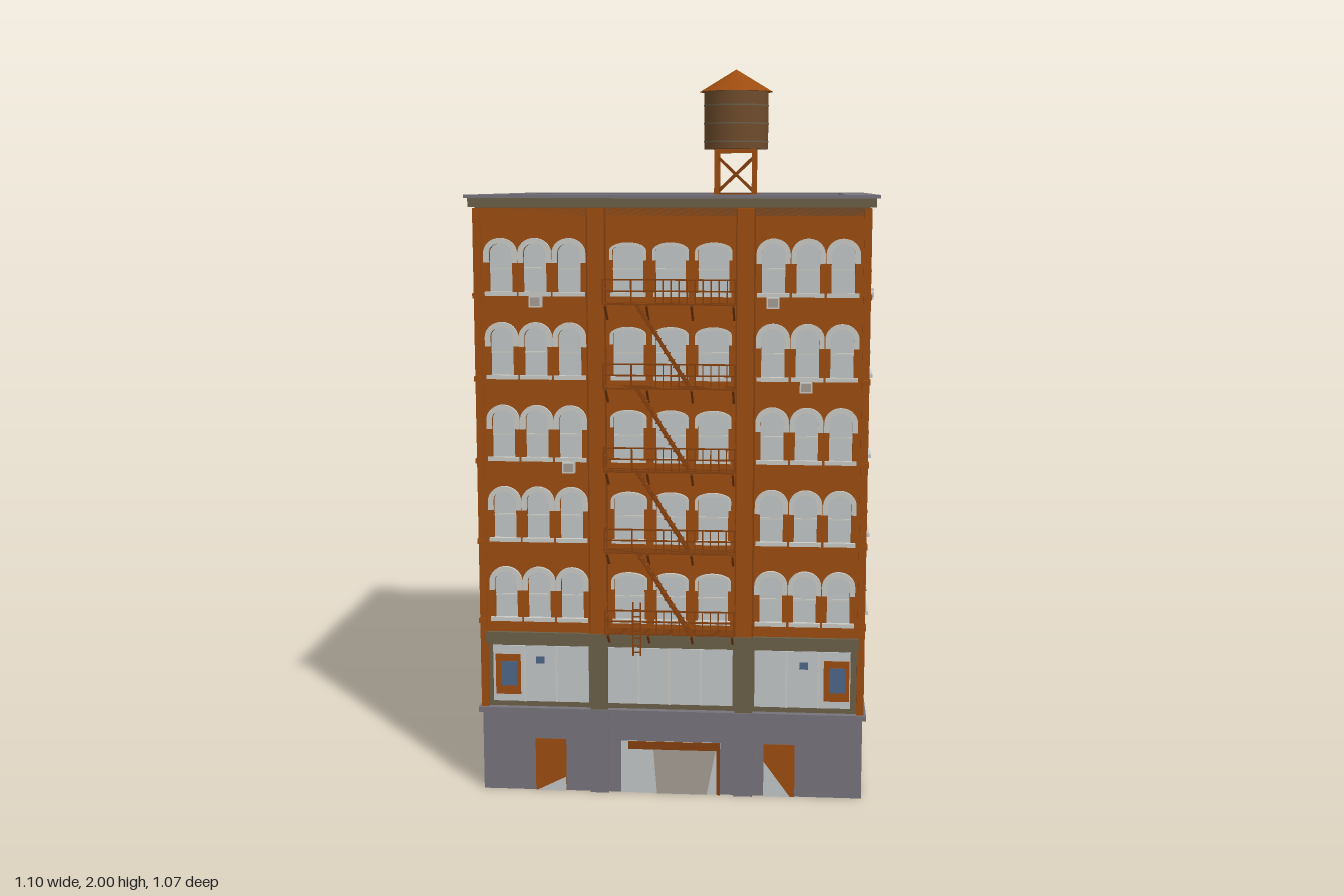
import * as THREE from 'three';

const mat = (name, color, side = THREE.FrontSide) => {
  const m = new THREE.MeshStandardMaterial({ color, side });
  m.name = name;
  return m;
};

export function createModel() {
  const brick = mat('orange brick', 0x9c4c0f);
  const brown = mat('brown brick', 0x6e4b2c);
  const beige = mat('beige render', 0xa59d94);
  const slate = mat('slate grey', 0x77737b);
  const olive = mat('olive trim', 0x6a6048);
  const trim = mat('pale stone', 0xc9c9c5);
  const pale = mat('pale glass', 0xc2c6c7);
  const blue = mat('blue glass', 0x4e6588);
  const iron = mat('rusty iron', 0x84400e);
  iron.flatShading = true;

  const model = new THREE.Group();
  model.name = 'building';

  const add = (parent, name, geo, m, x = 0, y = 0, z = 0) => {
    const mesh = new THREE.Mesh(geo, m);
    mesh.name = name;
    mesh.position.set(x, y, z);
    parent.add(mesh);
    return mesh;
  };
  // box given by its minimum and maximum corners
  const box = (parent, name, m, x0, x1, y0, y1, z0, z1) =>
    add(parent, name, new THREE.BoxGeometry(x1 - x0, y1 - y0, z1 - z0), m, (x0 + x1) / 2, (y0 + y1) / 2, (z0 + z1) / 2);
  const poly = (pts) => new THREE.Shape(pts.map(([x, y]) => new THREE.Vector2(x, y)));
  const rect = (x0, x1, y0, y1) => [[x0, y0], [x1, y0], [x1, y1], [x0, y1]];
  const extrude = (shape, depth) => new THREE.ExtrudeGeometry(shape, { depth, bevelEnabled: false, curveSegments: 8 });
  // straight bar between two points
  const bar = (parent, name, m, a, b, r) => {
    const p = new THREE.Vector3(...a), q = new THREE.Vector3(...b);
    const d = q.clone().sub(p);
    const mesh = add(parent, name, new THREE.BoxGeometry(r * 2, d.length(), r * 2), m);
    mesh.position.copy(p).add(q).multiplyScalar(0.5);
    mesh.quaternion.setFromUnitVectors(new THREE.Vector3(0, 1, 0), d.normalize());
  };
  // horizontal frame with a rectangular opening
  const ring = (name, m, outer, inner, y0, y1) => {
    const s = poly(rect(...outer));
    s.holes.push(poly(rect(...inner)));
    add(model, name, extrude(s, y1 - y0).rotateX(Math.PI / 2), m, 0, y1, 0);
  };

  // Main block
  box(model, 'body', brown, -0.525, 0.525, 0.235, 1.605, -0.505, 0.44);
  for (const s of [-1, 1]) {
    const x = s * 0.526;
    box(model, 'sidePanel', beige, x - 0.003, x + 0.003, 0.455, 1.615, -0.225, 0.455);
  }

  // Base storey
  box(model, 'base', slate, -0.527, 0.527, 0.02, 0.235, -0.508, 0.468);
  ring('baseSkirt', slate, [-0.527, 0.527, -0.508, 0.468], [-0.51, 0.51, -0.49, 0.45], 0, 0.02);
  box(model, 'baseLedge', slate, -0.537, 0.537, 0.225, 0.24, -0.516, 0.476);
  for (const s of [-1, 1]) {
    box(model, 'basePilaster', slate, s * 0.2 - 0.026, s * 0.2 + 0.026, 0, 0.24, -0.516, 0.478);
    const x = s > 0 ? 0.3 : -0.337;
    box(model, 'door', brick, x - 0.043, x + 0.043, 0, 0.15, 0.466, 0.47);
  }
  add(model, 'doorSplash', extrude(poly([[0.257, 0], [0.33, 0], [0.257, 0.1]]), 0.003), pale, 0, 0, 0.469);
  add(model, 'doorSplash', extrude(poly([[-0.375, 0], [-0.295, 0], [-0.295, 0.04]]), 0.003), pale, 0, 0, 0.469);
  box(model, 'shopEntrance', pale, -0.14, 0.137, 0, 0.15, 0.465, 0.47);
  add(model, 'shopBlind', extrude(poly([[-0.04, 0], [0.1, 0], [0.125, 0.13], [-0.05, 0.13]]), 0.003), beige, 0, 0, 0.47);
  box(model, 'shopLintel', iron, -0.12, 0.137, 0.128, 0.15, 0.47, 0.474);
  box(model, 'shopPost', iron, 0.127, 0.137, 0, 0.13, 0.47, 0.474);
  const splash = extrude(poly([[-0.12, 0], [0.5, 0], [-0.12, 0.14]]), 0.003).rotateY(Math.PI / 2);
  add(model, 'sideSplash', splash, pale, 0.526, 0, 0);
  const floorPatches = [
    [[-0.48, -0.45], [-0.25, -0.2], [-0.48, 0.1]], [[-0.15, -0.3], [0.15, -0.1], [-0.1, 0.2]],
    [[0.25, -0.4], [0.48, 0.05], [0.27, 0.25]], [[-0.5, 0.2], [-0.25, 0.1], [-0.3, 0.43]], [[0, 0.15], [0.15, 0.43], [-0.15, 0.4]],
  ];
  for (const p of floorPatches) add(model, 'underPatch', extrude(poly(p), 0.004).rotateX(Math.PI / 2), pale, 0, 0.021, 0);

  // Shop windows above the base
  box(model, 'shopFront', olive, -0.515, 0.515, 0.235, 0.455, 0.44, 0.458);
  box(model, 'shopCornice', olive, -0.515, 0.515, 0.425, 0.455, 0.455, 0.47);
  for (const [x0, x1, n] of [[-0.497, -0.23, 3], [-0.178, 0.17, 4], [0.23, 0.493, 3]]) {
    box(model, 'shopWindow', pale, x0, x1, 0.255, 0.415, 0.456, 0.461);
    for (let i = 1; i < n; i++) {
      const x = x0 + (x1 - x0) * i / n;
      box(model, 'mullion', trim, x - 0.003, x + 0.003, 0.255, 0.415, 0.458, 0.464);
    }
  }
  for (const s of [-1, 1]) {
    box(model, 'displayCase', brick, s * 0.455 - 0.035, s * 0.455 + 0.035, 0.275, 0.39, 0.46, 0.463);
    box(model, 'displayGlass', blue, s * 0.455 - 0.02, s * 0.455 + 0.025, 0.3, 0.37, 0.462, 0.465);
    box(model, 'displaySign', blue, s * 0.365 - 0.012, s * 0.365 + 0.012, 0.365, 0.385, 0.46, 0.464);
    box(model, 'shopPillar', olive, s * 0.2 - 0.024, s * 0.2 + 0.024, 0.235, 0.455, 0.45, 0.474);
    box(model, 'pilaster', brick, s * 0.2 - 0.022, s * 0.2 + 0.022, 0.455, 1.62, 0.45, 0.47);
    box(model, 'pilasterRib', iron, s * 0.2 - 0.026, s * 0.2 - 0.021, 0.455, 1.62, 0.45, 0.468);
    box(model, 'pilasterRib', iron, s * 0.2 + 0.021, s * 0.2 + 0.026, 0.455, 1.62, 0.45, 0.468);
    box(model, 'cornerPier', brick, s * 0.52 - 0.01, s * 0.52 + 0.01, 0.24, 1.62, 0.435, 0.468);
  }

  // Front wall with arched window openings
  const rows = [0.49, 0.715, 0.94, 1.165, 1.39];
  const bays = [
    { xs: [-0.457, -0.365, -0.273], w: 0.031, spring: 0.11, rise: 0.027, hood: 0.014 },
    { xs: [-0.115, 0, 0.115], w: 0.041, spring: 0.118, rise: 0.014, hood: 0.008 },
    { xs: [0.273, 0.365, 0.457], w: 0.031, spring: 0.11, rise: 0.027, hood: 0.014 },
  ];
  const arch = (path, x, y, w, rise, y0) => {
    path.moveTo(x - w, y0);
    path.lineTo(x + w, y0);
    path.lineTo(x + w, y);
    path.absellipse(x, y, w, rise, 0, Math.PI, false, 0);
    path.lineTo(x - w, y0);
    return path;
  };
  const front = poly(rect(-0.525, 0.525, 0.455, 1.62));
  for (const y of rows) {
    for (const b of bays) {
      for (const x of b.xs) {
        front.holes.push(arch(new THREE.Path(), x, y + b.spring, b.w, b.rise, y));
        // raised hood with short ears
        const W = b.w + b.hood, top = y + b.spring, ear = y + b.spring - 0.025;
        const hood = new THREE.Shape();
        hood.moveTo(x + b.w, ear);
        hood.lineTo(x + W, ear);
        hood.lineTo(x + W, top);
        hood.absellipse(x, top, W, b.rise + b.hood, 0, Math.PI, false, 0);
        hood.lineTo(x - W, ear);
        hood.lineTo(x - b.w, ear);
        hood.lineTo(x - b.w, top);
        hood.absellipse(x, top, b.w, b.rise, Math.PI, 0, true, 0);
        add(model, 'windowHood', extrude(hood, 0.013), trim, 0, 0, 0.457);
        box(model, 'windowSill', trim, x - W + 0.002, x + W - 0.002, y - 0.004, y + 0.007, 0.455, 0.468);
        box(model, 'sashBar', trim, x - b.w, x + b.w, y + 0.066, y + 0.071, 0.446, 0.452);
      }
      box(model, 'frontGlass', pale, b.xs[0] - 0.045, b.xs[2] + 0.045, y - 0.003, y + 0.145, 0.441, 0.448);
    }
    for (const s of [-1, 1]) box(model, 'pierBand', brick, s * 0.524 - 0.009, s * 0.524 + 0.009, y - 0.01, y + 0.003, 0.44, 0.473);
  }
  add(model, 'frontWall', extrude(front, 0.02), brick, 0, 0, 0.44);

  // Side and rear windows
  const plainWindow = (x, y, z, turn) => {
    const g = new THREE.Group();
    g.name = 'plainWindow';
    box(g, 'frame', beige, -0.067, 0.067, -0.062, 0.062, -0.004, 0.005);
    box(g, 'pane', blue, -0.058, 0.058, -0.054, 0.054, 0, 0.007);
    box(g, 'meetingRail', slate, -0.058, 0.058, -0.003, 0.002, 0, 0.009);
    box(g, 'sill', trim, -0.07, 0.07, -0.068, -0.058, -0.004, 0.014);
    g.position.set(x, y, z);
    g.rotation.y = turn;
    model.add(g);
  };
  for (const y of [0.56, 0.783, 1.005, 1.228, 1.45])
    for (const s of [-1, 1]) plainWindow(s * 0.529, y, 0.283, s * Math.PI / 2);
  for (const y of [0.98, 1.2, 1.42])
    for (const x of [-0.41, -0.105, 0.105, 0.41]) plainWindow(x, y, -0.505, Math.PI);

  // Window air conditioners
  for (const [x, y, z] of [[-0.3625, 1.372, 0.465], [0.2725, 1.372, 0.465], [0.3625, 1.147, 0.465], [-0.278, 0.922, 0.465],
    [0.105, 1.375, -0.51], [-0.14, 0.92, -0.51], [0.53, 1.382, 0.25]]) {
    box(model, 'airConditioner', trim, x - 0.017, x + 0.017, y - 0.015, y + 0.015, z - 0.014, z + 0.014);
    if (z > 0.4) box(model, 'grille', beige, x - 0.013, x + 0.013, y - 0.011, y + 0.011, z + 0.012, z + 0.016);
  }

  // Cornice, parapet and roof
  const well = [-0.465, 0.465, -0.455, 0.405];
  box(model, 'roofDeck', slate, -0.5, 0.5, 1.6, 1.61, -0.49, 0.44);
  ring('parapet', brown, [-0.525, 0.525, -0.505, 0.46], well, 1.6, 1.647);
  ring('cornice', olive, [-0.541, 0.541, -0.522, 0.474], [-0.5, 0.5, -0.48, 0.43], 1.622, 1.647);
  ring('coping', slate, [-0.55, 0.55, -0.535, 0.482], well, 1.646, 1.655);
  box(model, 'roofVent', trim, -0.285, -0.178, 1.61, 1.645, -0.14, -0.072);
  add(model, 'roofFan', new THREE.CylinderGeometry(0.03, 0.03, 0.006, 20), olive, -0.25, 1.647, -0.108);

  // Water tower
  const tower = new THREE.Group();
  tower.name = 'waterTower';
  tower.position.set(0.16, 0, 0.15);
  model.add(tower);
  add(tower, 'tank', new THREE.CylinderGeometry(0.09, 0.09, 0.165, 20), brown, 0, 1.8625, 0);
  add(tower, 'tankRoof', new THREE.ConeGeometry(0.103, 0.062, 20), mat('x', 0), 0, 1.969, 0).material = brick;
  for (const y of [1.8, 1.85, 1.9])
    add(tower, 'hoop', new THREE.CylinderGeometry(0.0915, 0.0915, 0.004, 20, 1, true), olive, 0, y, 0);
  for (let i = 0; i < 4; i++) {
    const a = i * Math.PI / 2 + Math.PI / 4, b = a + Math.PI / 2, R = 0.074;
    const at = (t, y) => [Math.cos(t) * R, y, Math.sin(t) * R];
    bar(tower, 'leg', brick, at(a, 1.61), at(a, 1.785), 0.006);
    bar(tower, 'brace', iron, at(a, 1.66), at(b, 1.76), 0.003);
    bar(tower, 'brace', iron, at(b, 1.66), at(a, 1.76), 0.003);
    bar(tower, 'topBeam', brick, at(a, 1.775), at(b, 1.775), 0.005);
    bar(tower, 'lowBeam', iron, at(a, 1.655), at(b, 1.655), 0.003);
  }

  // Fire escape: platforms, railings, brackets and stairs
  const levels = [0.475, 0.7, 0.922, 1.147, 1.37];
  levels.forEach((y, i) => {
    const esc = new THREE.Group();
    esc.name = 'fireEscape';
    model.add(esc);
    for (let k = 0; k < 6; k++) {
      const z = 0.479 + k * 0.0096;
      bar(esc, 'slat', iron, [-0.175, y, z], [0.175, y, z], 0.002);
    }
    for (const h of [0.035, 0.065]) {
      bar(esc, 'rail', iron, [-0.175, y + h, 0.528], [0.175, y + h, 0.528], 0.002);
      for (const x of [-0.175, 0.175]) bar(esc, 'endRail', iron, [x, y + h, 0.462], [x, y + h, 0.528], 0.002);
    }
    for (let k = 0; k <= 10; k++) {
      const x = -0.035 + k * 0.021;
      bar(esc, 'baluster', iron, [x, y, 0.528], [x, y + 0.065, 0.528], 0.0015);
    }
    for (const x of [-0.175, -0.1, 0.175]) bar(esc, 'post', iron, [x, y, 0.528], [x, y + 0.065, 0.528], 0.002);
    for (const x of [-0.17, -0.06, 0.06, 0.17]) {
      bar(esc, 'bracket', iron, [x, y, 0.525], [x, y - 0.045, 0.462], 0.003);
      bar(esc, 'crossBearer', iron, [x, y - 0.003, 0.462], [x, y - 0.003, 0.53], 0.003);
    }
    if (i > 0) {
      const lower = levels[i - 1];
      for (const z of [0.488, 0.518]) bar(esc, 'stringer', iron, [-0.09, y, z], [0.055, lower, z], 0.003);
      for (let k = 1; k < 12; k++) {
        const t = k / 12;
        box(esc, 'tread', iron, -0.098 + 0.145 * t, -0.082 + 0.145 * t, y + (lower - y) * t - 0.0015, y + (lower - y) * t + 0.0015, 0.488, 0.518);
      }
    }
  });
  // drop ladder
  for (const x of [-0.1, -0.08]) bar(model, 'dropLadder', iron, [x, 0.41, 0.515], [x, 0.56, 0.515], 0.002);
  for (let y = 0.42; y < 0.55; y += 0.02) bar(model, 'rung', iron, [-0.1, y, 0.515], [-0.08, y, 0.515], 0.0015);

  return model;
}
